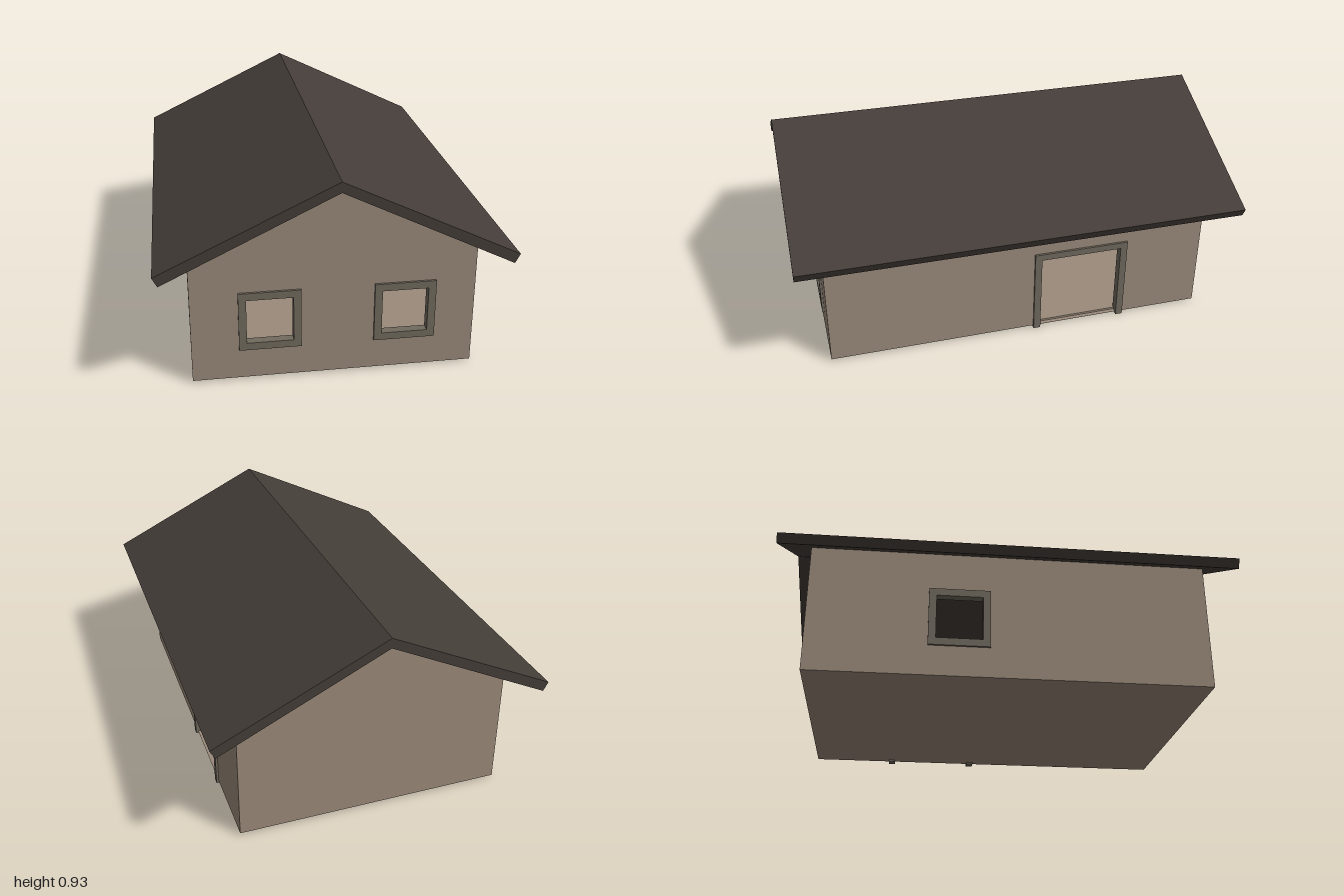
import * as THREE from 'three';

const T = 0.02; // wall thickness
const HALF_W = 0.6, FRONT = 0.877, BACK = -0.868, BASE = 0.01;
const EAVE = 0.586, RIDGE = 0.88;

const material = (color) => new THREE.MeshStandardMaterial({ color, flatShading: true });

function polygon(points, ShapeType = THREE.Shape) {
  return new ShapeType(points.map(([x, y]) => new THREE.Vector2(x, y)));
}

function rectangle(x0, x1, y0, y1, ShapeType) {
  return polygon([[x0, y0], [x1, y0], [x1, y1], [x0, y1]], ShapeType);
}

// Extruded shape with optional [x0, x1, y0, y1] openings
function slab(name, shape, depth, mat, openings = []) {
  for (const o of openings) shape.holes.push(rectangle(...o, THREE.Path));
  const mesh = new THREE.Mesh(
    new THREE.ExtrudeGeometry(shape, { depth, bevelEnabled: false }), mat);
  mesh.name = name;
  return mesh;
}

export function createModel() {
  const house = new THREE.Group();
  house.name = 'house';
  const wallMat = material(0x9a8a7a);
  const frameMat = material(0x706a5e);
  const roofMat = material(0x443d38);

  // Gable walls, the front one with two windows
  const gable = () => polygon([
    [-HALF_W, BASE], [HALF_W, BASE], [HALF_W, EAVE], [0, RIDGE], [-HALF_W, EAVE]]);
  const frontWindows = [[-0.402, -0.14], [0.168, 0.43]];
  const wy0 = 0.146, wy1 = 0.412, rim = 0.033, cut = 0.02;
  const opening = ([a, b], inset) => [a + inset, b - inset, wy0 + inset, wy1 - inset];

  const frontWall = slab('frontWall', gable(), T, wallMat,
    frontWindows.map((w) => opening(w, cut)));
  frontWall.position.z = FRONT - T;
  const backWall = slab('backWall', gable(), T, wallMat);
  backWall.position.z = BACK;
  house.add(frontWall, backWall);

  // Side walls, drawn with shape x = -z and turned to face sideways
  const sideWindow = [0.085, 0.352];
  const side = () => rectangle(-FRONT + T, -BACK - T, BASE, EAVE);
  const rightWall = slab('doorWall', side(), T, wallMat, [[0.08, 0.48, 0.0105, 0.385]]);
  rightWall.position.x = HALF_W - T;
  const leftWall = slab('windowWall', side(), T, wallMat, [opening(sideWindow, cut)]);
  leftWall.position.x = -HALF_W;

  // Floor
  const floor = new THREE.Mesh(
    new THREE.BoxGeometry(2 * (HALF_W - T), 0.01, FRONT - BACK - 2 * T), wallMat);
  floor.name = 'floor';
  floor.position.set(0, BASE + 0.005, (FRONT + BACK) / 2);
  house.add(floor);

  // Window frames reach a little beyond both wall faces
  const depth = T + 0.02;
  const windowFrame = (name, w) =>
    slab(name, rectangle(...opening(w, 0)), depth, frameMat, [opening(w, rim)]);
  for (const w of frontWindows) {
    const frame = windowFrame('frontWindowFrame', w);
    frame.position.z = FRONT - T - 0.01;
    house.add(frame);
  }
  const sideFrame = windowFrame('sideWindowFrame', sideWindow);
  sideFrame.position.x = -HALF_W - 0.01;

  // Door frame: two posts and a lintel
  const doorFrame = slab('doorFrame', polygon([
    [0.06, 0], [0.092, 0], [0.092, 0.373], [0.468, 0.373],
    [0.468, 0], [0.5, 0], [0.5, 0.403], [0.06, 0.403]]), depth, frameMat);
  doorFrame.position.x = HALF_W - T - 0.01;

  for (const part of [rightWall, leftWall, sideFrame, doorFrame]) {
    part.rotation.y = Math.PI / 2;
    house.add(part);
  }

  // Roof: a folded slab along the whole length
  const roof = slab('roof', polygon([
    [0, 0.925], [-0.737, 0.57], [-0.716, 0.53], [0, RIDGE],
    [0.716, 0.53], [0.737, 0.57]]), 2, roofMat);
  roof.position.z = -1;
  house.add(roof);

  return house;
}
